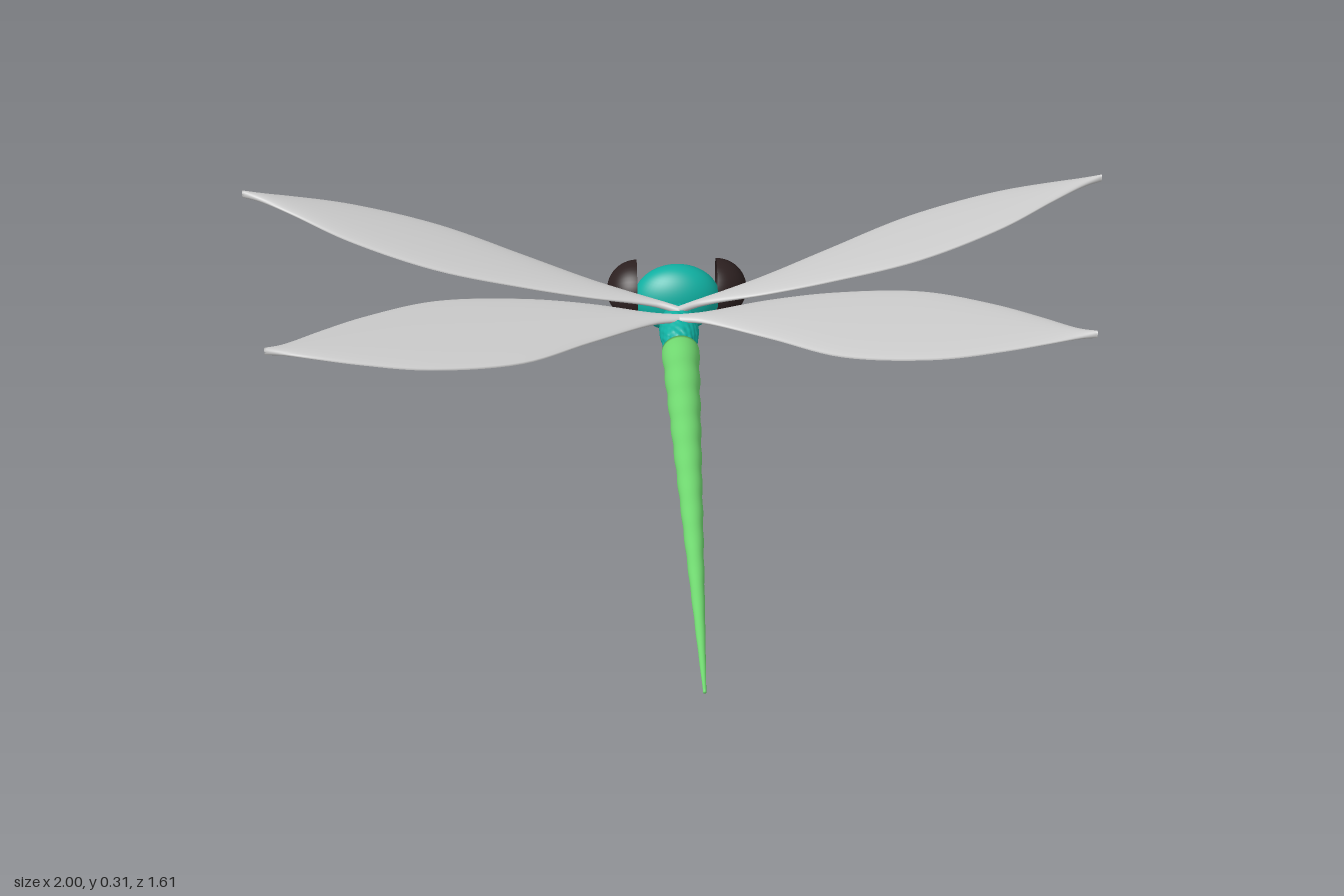
import * as THREE from 'three';

const mat = (color) => new THREE.MeshStandardMaterial({ color, side: THREE.DoubleSide });

function add(group, name, geometry, material, position = [0, 0, 0]) {
  const mesh = new THREE.Mesh(geometry, material);
  mesh.name = name;
  mesh.position.set(...position);
  group.add(mesh);
  return mesh;
}

// Lens-shaped wing lofted through stations [x, leading z, trailing z], rising by slope
function wingGeometry(stations, slope, side) {
  const curve = (k) => new THREE.CatmullRomCurve3(
    stations.map((s) => new THREE.Vector3(s[0], 0, s[k])), false, 'centripetal');
  const lead = curve(1), trail = curve(2);
  const rows = 56, ring = 24, pos = [], idx = [];
  for (let i = 0; i <= rows; i++) {
    const a = lead.getPoint(i / rows), b = trail.getPoint(i / rows);
    const mid = a.clone().add(b).multiplyScalar(0.5), half = b.clone().sub(a).multiplyScalar(0.5);
    for (let j = 0; j < ring; j++) {
      const w = (j / ring) * Math.PI * 2;
      const x = mid.x + half.x * Math.cos(w);
      pos.push(side * x, 0.12 + slope * x + 0.009 * Math.sin(w), mid.z + half.z * Math.cos(w));
    }
  }
  const quad = (a, b, c, d) => (side > 0 ? idx.push(a, c, b, b, c, d) : idx.push(a, b, c, b, d, c));
  for (let i = 0; i < rows; i++) {
    for (let j = 0; j < ring; j++) {
      const k = (j + 1) % ring;
      quad(i * ring + j, (i + 1) * ring + j, i * ring + k, (i + 1) * ring + k);
    }
  }
  // Close the tip
  for (let j = 1; j < ring - 1; j++) {
    const o = rows * ring;
    if (side > 0) idx.push(o, o + j + 1, o + j);
    else idx.push(o, o + j, o + j + 1);
  }
  const g = new THREE.BufferGeometry();
  g.setAttribute('position', new THREE.Float32BufferAttribute(pos, 3));
  g.setIndex(idx);
  g.computeVertexNormals();
  return g;
}

// Ellipsoid covered in small regular bumps
function bumpyEllipsoid(rx, ry, rz) {
  const g = new THREE.SphereGeometry(1, 64, 48);
  g.rotateX(Math.PI / 2);
  const p = g.attributes.position, v = new THREE.Vector3();
  for (let i = 0; i < p.count; i++) {
    v.fromBufferAttribute(p, i);
    const bump = 1 + 0.05 * Math.sin(v.x * 13) * Math.sin(v.y * 13 + 1) * Math.sin(v.z * 20);
    p.setXYZ(i, v.x * rx * bump, v.y * ry * bump, v.z * rz * bump);
  }
  g.computeVertexNormals();
  return g;
}

export function createModel() {
  const model = new THREE.Group();
  model.name = 'dragonfly';
  const teal = mat(0x10b0a2), green = mat(0x70d870), dark = mat(0x2c2020), grey = mat(0xcccccc);

  // Head and thorax
  const head = add(model, 'head', new THREE.SphereGeometry(1, 48, 32), teal, [0, 0.083, -0.645]);
  head.scale.set(0.1, 0.083, 0.061);
  add(model, 'thorax', bumpyEllipsoid(0.045, 0.044, 0.095), teal, [0, 0.08, -0.5]);

  // Half-dome eyes facing outward
  for (const side of [1, -1]) {
    const dome = new THREE.SphereGeometry(0.07, 40, 20, 0, Math.PI * 2, 0, Math.PI / 2);
    dome.rotateZ(-side * Math.PI / 2);
    add(model, side > 0 ? 'leftEye' : 'rightEye', dome, dark, [side * 0.092, 0.106, -0.645]);
  }

  // Tapered abdomen with gently swelling segments
  const profile = [new THREE.Vector2(0, 0)];
  const length = 1.21, steps = 120;
  for (let i = 0; i <= steps; i++) {
    const t = i / steps;
    const r = 0.003 + 0.039 * Math.pow(1 - t, 0.95);
    profile.push(new THREE.Vector2(r * (1 + 0.035 * Math.sin(t * Math.PI * 24)), t * length));
  }
  profile.push(new THREE.Vector2(0, length));
  const abdomen = add(model, 'abdomen', new THREE.LatheGeometry(profile, 32), green, [0, 0.08, -0.41]);
  abdomen.rotation.x = Math.PI / 2;

  // Two pairs of wings
  const foreStations = [
    [0, -0.535, -0.515], [0.05, -0.553, -0.53], [0.2, -0.61, -0.525], [0.35, -0.68, -0.53],
    [0.55, -0.77, -0.555], [0.75, -0.81, -0.635], [0.88, -0.808, -0.72], [0.96, -0.798, -0.768],
    [1, -0.793, -0.783],
  ];
  const hindStations = [
    [0, -0.5, -0.475], [0.05, -0.502, -0.46], [0.2, -0.53, -0.36], [0.35, -0.537, -0.255],
    [0.55, -0.505, -0.208], [0.7, -0.42, -0.215], [0.8, -0.34, -0.23], [0.87, -0.277, -0.242],
    [0.905, -0.256, -0.245],
  ];
  for (const side of [1, -1]) {
    const label = side > 0 ? 'left' : 'right';
    add(model, label + 'ForeWing', wingGeometry(foreStations, 0.18, side), grey);
    add(model, label + 'HindWing', wingGeometry(hindStations, 0.088, side), grey);
  }
  return model;
}
